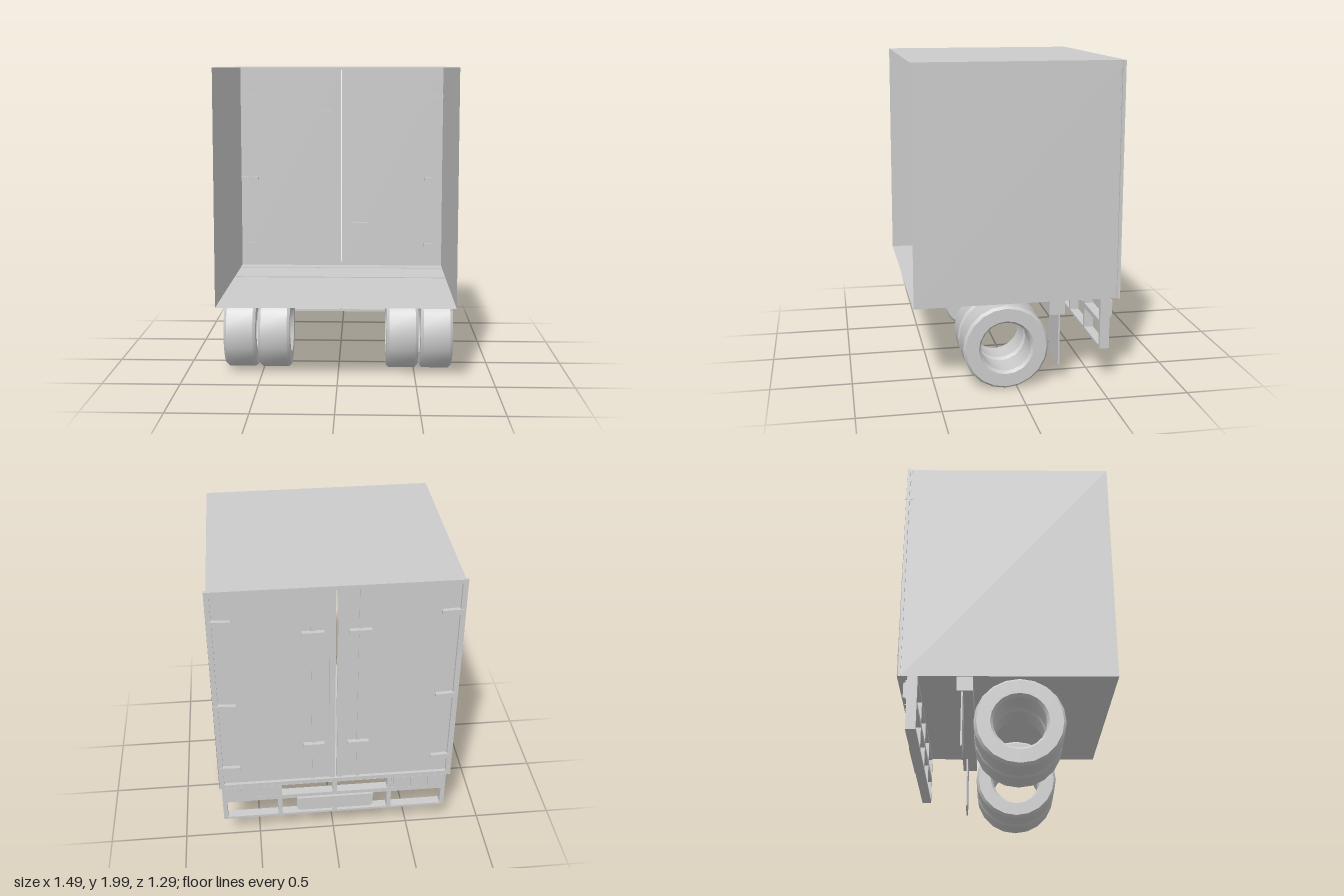
import * as THREE from 'three';
import { toCreasedNormals } from 'three/addons/utils/BufferGeometryUtils.js';

const grey = new THREE.MeshStandardMaterial({ color: 0xcccccc });
const thin = new THREE.MeshStandardMaterial({ color: 0xcccccc, side: THREE.DoubleSide, flatShading: true });

export function createModel() {
  const model = new THREE.Group();
  const add = (name, geometry, material = grey) => {
    const mesh = new THREE.Mesh(geometry, material);
    mesh.name = name;
    model.add(mesh);
    return mesh;
  };
  // box given by its limits on each axis
  const box = (name, x0, x1, y0, y1, z0, z1) => {
    const mesh = add(name, new THREE.BoxGeometry(x1 - x0, y1 - y0, z1 - z0));
    mesh.position.set((x0 + x1) / 2, (y0 + y1) / 2, (z0 + z1) / 2);
    return mesh;
  };
  const extrude = (name, shape, depth, z) => {
    const mesh = add(name, new THREE.ExtrudeGeometry(shape, { depth, bevelEnabled: false, curveSegments: 6 }));
    mesh.position.z = z;
    return mesh;
  };

  // cargo shell: four thin walls, open at the front, flared at the rear rim
  const sections = [
    [[-0.742, 0.548, 0.645], [0.733, 0.548, 0.63], [0.725, 2, 0.625], [-0.732, 2, 0.637]],
    [[-0.735, 0.548, -0.62], [0.735, 0.548, -0.62], [0.727, 2, -0.62], [-0.727, 2, -0.62]],
    [[-0.745, 0.545, -0.64], [0.745, 0.545, -0.64], [0.742, 2, -0.64], [-0.742, 2, -0.64]],
  ];
  const verts = [];
  for (let s = 0; s < 2; s++) {
    for (let i = 0; i < 4; i++) {
      const j = (i + 1) % 4;
      const a = sections[s][i], b = sections[s][j], c = sections[s + 1][j], d = sections[s + 1][i];
      verts.push(...a, ...d, ...c, ...a, ...c, ...b);
    }
  }
  const shell = new THREE.BufferGeometry();
  shell.setAttribute('position', new THREE.Float32BufferAttribute(verts, 3));
  shell.computeVertexNormals();
  add('cargoShell', shell, thin);

  // rear rim around the doors
  const rim = new THREE.Shape([[-0.742, 0.546], [0.742, 0.546], [0.742, 2], [-0.742, 2]].map(p => new THREE.Vector2(...p)));
  rim.holes.push(new THREE.Path([[-0.712, 0.575], [-0.712, 1.975], [0.712, 1.975], [0.712, 0.575]].map(p => new THREE.Vector2(...p))));
  extrude('rearRim', rim, 0.02, -0.64);

  // doors with centre seals and locking strips
  for (const s of [-1, 1]) {
    const span = (a, b) => (s > 0 ? [a, b] : [-b, -a]);
    box('rearDoor', ...span(0.004, 0.73), 0.55, 1.998, -0.62, -0.612);
    box('doorSeal', ...span(0.008, 0.04), 0.575, 1.975, -0.627, -0.615);
    box('lockingStrip', ...span(0.13, 0.15), 0.575, 1.975, -0.628, -0.615);
    for (const y of [0.86, 1.69]) box('lockHandle', ...span(0.073, 0.203), y - 0.013, y + 0.013, -0.648, -0.6);

    // tapered hinges
    for (const y of [0.705, 1.193, 1.79]) {
      const hinge = new THREE.Shape([[0.605, -0.012], [0.69, -0.016], [0.73, -0.016], [0.73, 0.016], [0.69, 0.016], [0.605, 0.012]]
        .map(([x, h]) => new THREE.Vector2(x * s, y + h)));
      extrude('hinge', hinge, 0.048, -0.645);
    }

    // mud flap
    box('mudFlap', ...span(0.47, 0.72), 0.13, 0.47, -0.268, -0.258);

    // lamp cluster
    box('lampPanel', ...span(0.37, 0.72), 0.415, 0.53, -0.59, -0.575);
    for (let i = 0; i < 3; i++) box('lamp', ...span(0.385 + i * 0.112, 0.482 + i * 0.112), 0.425, 0.52, -0.604, -0.585);
  }

  // cross beam carrying the flaps
  box('crossBeam', -0.73, 0.73, 0.46, 0.554, -0.295, -0.2);

  // rear guard frame
  for (const x of [-0.72, -0.36, 0, 0.36, 0.72]) box('guardPost', x - 0.014, x + 0.014, 0.222, 0.552, -0.58, -0.52);
  box('lowerRail', -0.734, 0.734, 0.222, 0.238, -0.58, -0.52);
  box('middleRail', -0.734, 0.734, 0.37, 0.402, -0.58, -0.52);
  box('upperRail', -0.734, 0.734, 0.532, 0.552, -0.58, -0.52);

  // plate with rounded lower corners
  const plate = new THREE.Shape();
  plate.moveTo(-0.25, 0.378);
  plate.lineTo(-0.25, 0.305);
  plate.quadraticCurveTo(-0.25, 0.275, -0.22, 0.275);
  plate.lineTo(0.22, 0.275);
  plate.quadraticCurveTo(0.25, 0.275, 0.25, 0.305);
  plate.lineTo(0.25, 0.378);
  extrude('rearPlate', plate, 0.017, -0.598);

  // twin hollow wheels on each side
  const w = 0.1035;
  const profile = [[0.155, -w + 0.02], [0.17, -w], [0.25, -w], [0.265, -w + 0.018], [0.265, w - 0.018],
    [0.25, w], [0.17, w], [0.155, w - 0.02], [0.155, -w + 0.02]].map(p => new THREE.Vector2(...p));
  const tyre = toCreasedNormals(new THREE.LatheGeometry(profile, 20).rotateZ(Math.PI / 2), 0.6);
  for (const x of [-0.641, -0.418, 0.418, 0.641]) add('wheel', tyre).position.set(x, 0.272, 0.07);

  return model;
}
